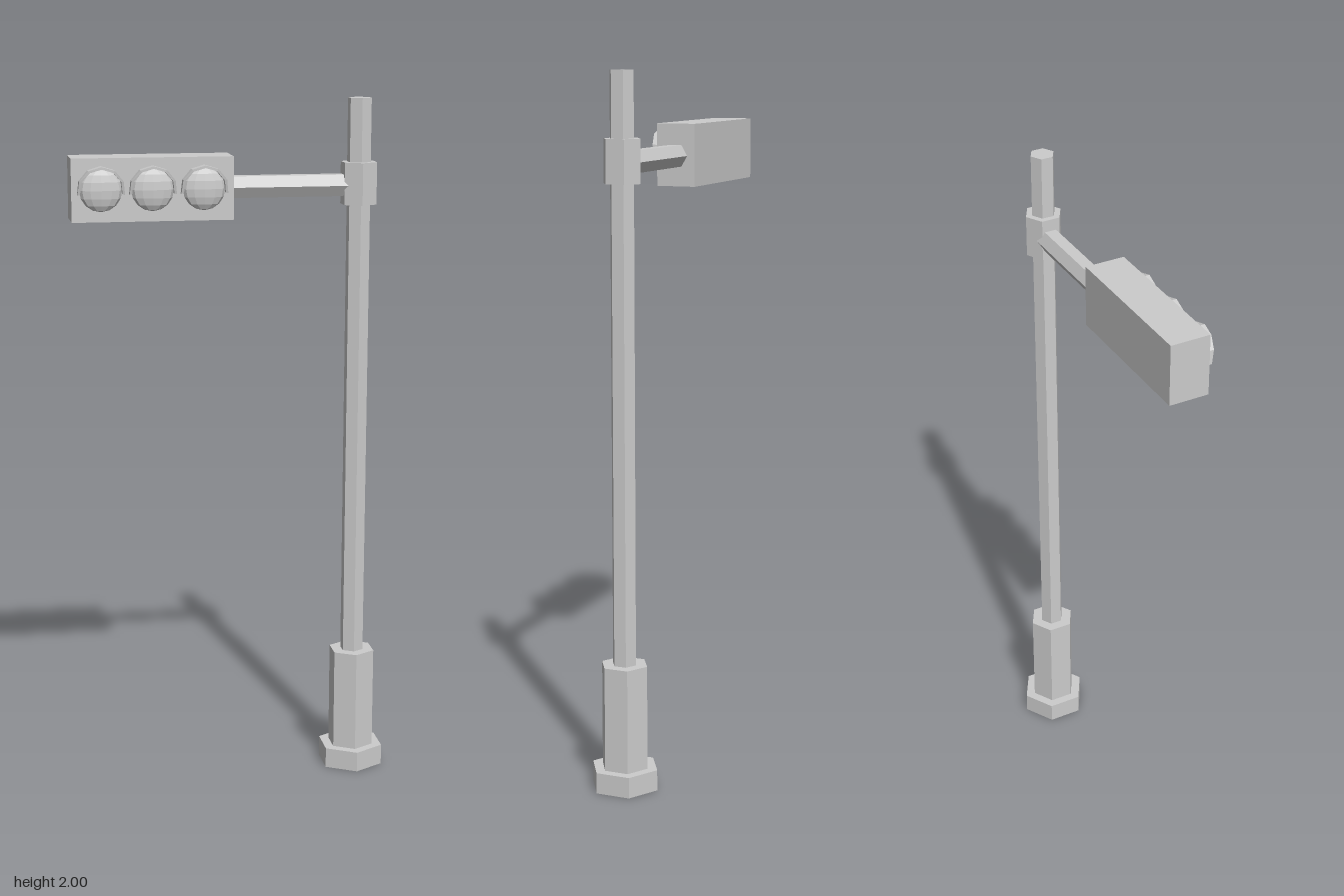
import * as THREE from 'three';

const POST_X = 0.37, LAMP_Y = 1.757, FACE_Z = 0.055;

export function createModel() {
  const model = new THREE.Group();
  model.name = 'trafficLight';
  const grey = new THREE.MeshStandardMaterial({ color: 0xcccccc, flatShading: true });
  const thin = grey.clone();
  thin.side = THREE.DoubleSide;

  const add = (name, geometry, x, y, z, parent = model, material = grey) => {
    const mesh = new THREE.Mesh(geometry, material);
    mesh.name = name;
    mesh.position.set(x, y, z);
    parent.add(mesh);
    return mesh;
  };

  // Upright hexagonal sections: name, radius, bottom, top
  const sections = [
    ['baseFoot', 0.099, 0, 0.06],
    ['lowerPost', 0.069, 0.06, 0.36],
    ['pole', 0.035, 0.36, 2],
    ['collar', 0.054, 1.7, 1.82],
  ];
  for (const [name, r, y0, y1] of sections) {
    add(name, new THREE.CylinderGeometry(r, r, y1 - y0, 6), POST_X, (y0 + y1) / 2, 0);
  }

  // Horizontal hexagonal arm
  const arm = new THREE.CylinderGeometry(0.035, 0.035, 0.37, 6).rotateZ(Math.PI / 2);
  add('arm', arm, 0.165, 1.755, -0.002);

  // Signal housing
  add('housing', new THREE.BoxGeometry(0.455, 0.177, 0.115), -0.2275, LAMP_Y, -0.0025);

  // Three lamps, each a domed lens under a visor
  const lensGeometry = new THREE.SphereGeometry(0.06, 12, 8).scale(1, 1, 0.35);
  const hoodGeometry = visorGeometry();
  for (const x of [-0.373, -0.2285, -0.084]) {
    const lamp = new THREE.Group();
    lamp.name = 'lamp';
    lamp.position.set(x, LAMP_Y, FACE_Z);
    add('lens', lensGeometry, 0, 0, 0, lamp);
    add('visor', hoodGeometry, 0, 0, 0, lamp, thin);
    model.add(lamp);
  }
  return model;
}

// Curved hood: a four-point wall section swept over the top of the lens, deepest at the top
function visorGeometry(steps = 6, outer = 0.067, inner = 0.06) {
  const positions = [], index = [];
  for (let i = 0; i <= steps; i++) {
    const a = THREE.MathUtils.degToRad(-10 + (200 * i) / steps);
    const depth = 0.019 + 0.013 * Math.sin(a);
    for (const [r, z] of [[outer, 0], [outer, depth], [inner, depth], [inner, 0]]) {
      positions.push(r * Math.cos(a), r * Math.sin(a), z);
    }
  }
  for (let i = 0; i < steps; i++) {
    for (let j = 0; j < 4; j++) {
      const a = i * 4 + j, b = i * 4 + ((j + 1) % 4);
      index.push(a, a + 4, b, b, a + 4, b + 4);
    }
  }
  // End caps
  const e = steps * 4;
  index.push(0, 1, 2, 0, 2, 3, e, e + 2, e + 1, e, e + 3, e + 2);
  const geometry = new THREE.BufferGeometry();
  geometry.setAttribute('position', new THREE.Float32BufferAttribute(positions, 3));
  geometry.setIndex(index);
  geometry.computeVertexNormals();
  return geometry;
}
